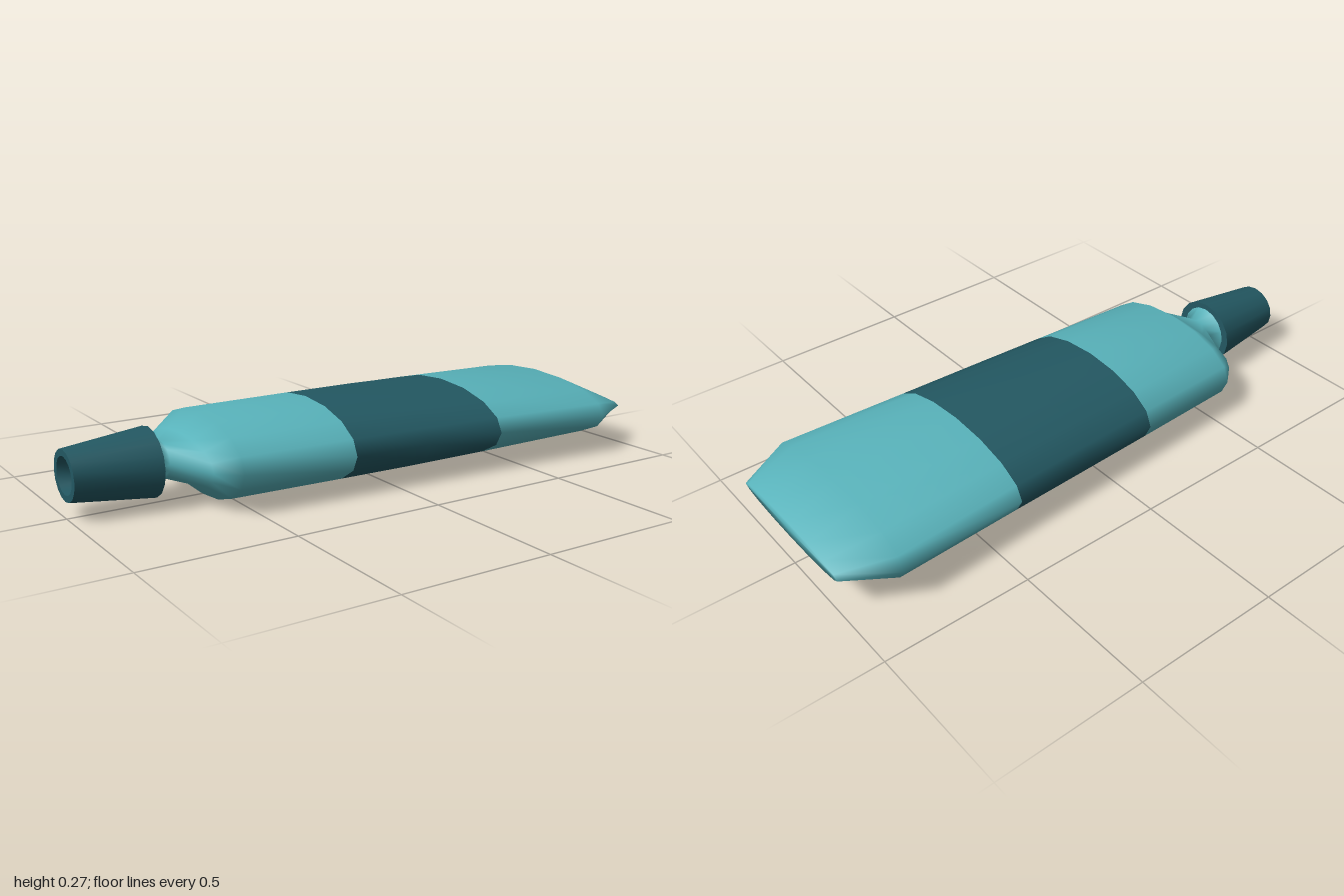
import * as THREE from 'three';
import { mergeGeometries } from 'three/addons/utils/BufferGeometryUtils.js';

const SIDES = 16;
const CENTRE_Y = 0.135;

// Skin through elliptical rings, each given as [x, halfHeight, halfWidth]
function loft(rings) {
  const positions = [], index = [];
  for (const [x, hy, hz] of rings) {
    for (let j = 0; j < SIDES; j++) {
      const a = (j / SIDES) * Math.PI * 2;
      positions.push(x, hy * Math.sin(a), hz * Math.cos(a));
    }
  }
  for (let i = 0; i < rings.length - 1; i++) {
    for (let j = 0; j < SIDES; j++) {
      const k = (j + 1) % SIDES;
      const a = i * SIDES + j, b = i * SIDES + k;
      const c = a + SIDES, d = b + SIDES;
      index.push(a, c, b, b, c, d);
    }
  }
  const geometry = new THREE.BufferGeometry();
  geometry.setAttribute('position', new THREE.Float32BufferAttribute(positions, 3));
  geometry.setIndex(index);
  geometry.computeVertexNormals();
  return geometry;
}

// Same skin, with a sharp edge at every ring
function creasedLoft(rings) {
  return mergeGeometries(rings.slice(1).map((ring, i) => loft([rings[i], ring])));
}

export function createModel() {
  const model = new THREE.Group();
  model.name = 'squeezeTube';
  const light = new THREE.MeshStandardMaterial({ color: 0x58b2ba });
  const dark = new THREE.MeshStandardMaterial({ color: 0x235862 });

  const add = (name, geometry, material) => {
    const mesh = new THREE.Mesh(geometry, material);
    mesh.name = name;
    mesh.position.y = CENTRE_Y;
    model.add(mesh);
  };

  const bandStart = [-0.17, 0.133, 0.308];
  const bandEnd = [0.39, 0.124, 0.336];

  // Flared neck, shoulder and front of the body
  add('neckAndShoulder', loft([
    [-0.73, 0.092, 0.092],
    [-0.69, 0.06, 0.064],
    [-0.625, 0.076, 0.23],
    [-0.555, 0.134, 0.289],
    bandStart,
  ]), light);

  // Dark band around the middle
  add('labelBand', loft([bandStart, [0.1, 0.131, 0.321], bandEnd]), dark);

  // Rear of the body, pinched to a thin closed end
  add('tail', loft([
    bandEnd,
    [0.835, 0.107, 0.364],
    [1, 0.027, 0.276],
    [1, 0, 0],
  ]), light);

  // Tapered screw cap with a recessed outer end
  add('cap', creasedLoft([
    [-0.96, 0, 0],
    [-0.96, 0.056, 0.06],
    [-1, 0.06, 0.065],
    [-1, 0.081, 0.087],
    [-0.73, 0.112, 0.12],
    [-0.73, 0.09, 0.09],
  ]), dark);

  return model;
}
